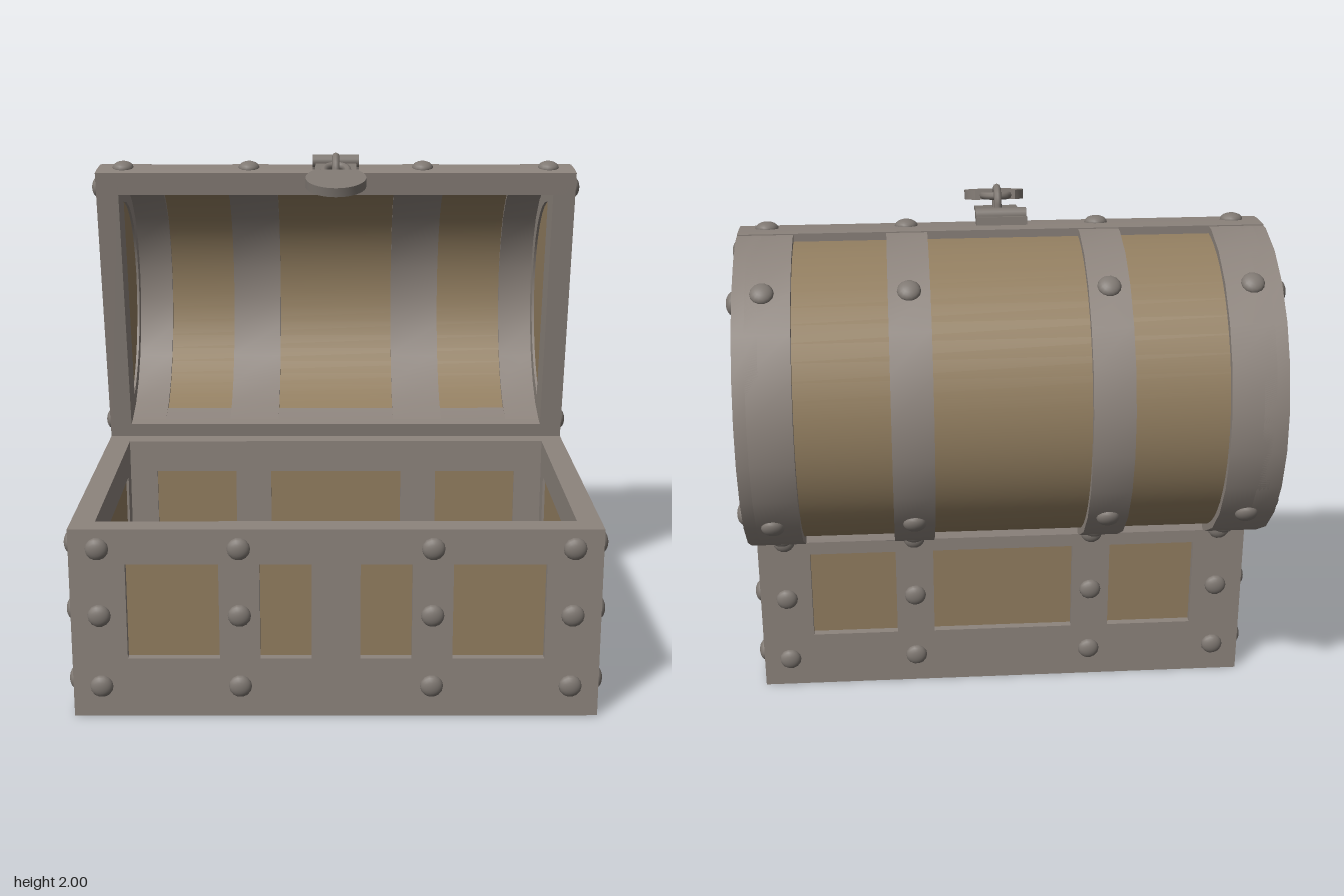
import * as THREE from 'three';
import { toCreasedNormals } from 'three/addons/utils/BufferGeometryUtils.js';

const iron = new THREE.MeshStandardMaterial({ color: 0x8d847d });
iron.name = 'grey frame';
const wood = new THREE.MeshStandardMaterial({ color: 0x927e60 });
wood.name = 'brown wood';
const metal = new THREE.MeshStandardMaterial({ color: 0x7f7872 });
metal.name = 'dark metal';

const W = 0.975, H = 0.735, DEPTH = 1.215, T = 0.09;
const R = DEPTH / 2, SKIRT = 0.05;
const RIVET_X = [-0.87, -0.355, 0.355, 0.87];
const rivetGeo = new THREE.SphereGeometry(0.043, 14, 6, 0, Math.PI * 2, 0, Math.PI / 2).scale(1, 0.6, 1);
const UP = new THREE.Vector3(0, 1, 0);

function add(parent, name, geo, mat, x = 0, y = 0, z = 0) {
  const m = new THREE.Mesh(geo, mat);
  m.name = name;
  m.position.set(x, y, z);
  parent.add(m);
  return m;
}

function box(parent, name, mat, w, h, d, x, y, z) {
  return add(parent, name, new THREE.BoxGeometry(w, h, d), mat, x, y, z);
}

function rivet(parent, x, y, z, nx, ny, nz) {
  const m = add(parent, 'rivet', rivetGeo, metal, x, y, z);
  m.quaternion.setFromUnitVectors(UP, new THREE.Vector3(nx, ny, nz).normalize());
}

const extrude = (shape, depth) =>
  new THREE.ExtrudeGeometry(shape, { depth, bevelEnabled: false, curveSegments: 8 });

// Points on an arc centred on the lid axis, angles in degrees
function arc(r, a0, a1, n) {
  return Array.from({ length: n + 1 }, (_, i) => {
    const a = THREE.MathUtils.degToRad(a0 + (a1 - a0) * i / n);
    return new THREE.Vector2(r * Math.cos(a), SKIRT + r * Math.sin(a));
  });
}

// Rounded rectangular ring for the carrying handles
function handle(parent) {
  const g = new THREE.Group();
  g.name = 'sideHandle';
  const w = 0.165, h = 0.083, r = 0.045, s = new THREE.Shape();
  [[1, 1, 0], [-1, 1, 1], [-1, -1, 2], [1, -1, 3]].forEach(([sx, sy, q]) =>
    s.absarc(sx * (w - r), sy * (h - r), r, q * Math.PI / 2, (q + 1) * Math.PI / 2, false));
  const pts = s.getPoints(4).map(p => new THREE.Vector3(p.x, p.y, 0));
  if (pts[0].distanceTo(pts[pts.length - 1]) < 1e-4) pts.pop();
  const ring = new THREE.CatmullRomCurve3(pts, true);
  add(g, 'handleRing', new THREE.TubeGeometry(ring, 80, 0.016, 8, true), metal);
  box(g, 'handleBracket', metal, 0.24, 0.03, 0.03, 0, h - 0.005, -0.012);
  g.position.set(0, 0.5, -0.01);
  parent.add(g);
}

// Wall with rectangular openings filled by recessed wood; outer face at local z = 0
function wall(parent, name, width, spans, rivets) {
  const g = new THREE.Group();
  g.name = name;
  const y0 = 0.23, y1 = 0.6, w = width / 2;
  const s = new THREE.Shape([[-w, 0], [w, 0], [w, H], [-w, H]].map(p => new THREE.Vector2(...p)));
  for (const [a, b] of spans) {
    s.holes.push(new THREE.Path([[a, y0], [a, y1], [b, y1], [b, y0]].map(p => new THREE.Vector2(...p))));
    box(g, 'woodPanel', wood, b - a, y1 - y0, 0.05, (a + b) / 2, (y0 + y1) / 2, -0.055);
  }
  add(g, 'wallFrame', extrude(s, T), iron, 0, 0, -T);
  for (const x of rivets) for (const y of [0.12, 0.4, 0.66]) rivet(g, x, y, 0, 0, 0, 1);
  parent.add(g);
  return g;
}

function buildBase() {
  const base = new THREE.Group();
  base.name = 'chestBase';
  const outer = [[-0.77, -0.43], [0.43, 0.77]];
  wall(base, 'frontWall', 2 * W, [...outer, [-0.28, -0.09], [0.09, 0.28]], RIVET_X).position.z = 0.875;
  const back = wall(base, 'backWall', 2 * W, [...outer, [-0.28, 0.28]], RIVET_X);
  back.position.z = -0.34;
  back.rotation.y = Math.PI;
  for (const side of [-1, 1]) {
    const g = wall(base, 'sideWall', DEPTH - 2 * T, [[-0.435, 0.435]], [-0.527, 0.527]);
    g.position.set(side * W, 0, 0.2675);
    g.rotation.y = side * Math.PI / 2;
    handle(g);
  }
  box(base, 'floor', iron, 2 * W - 0.02, 0.07, DEPTH - 0.02, 0, 0.035, 0.2675);
  return base;
}

// Hasp plate with its knuckle and staple
function buildHasp() {
  const g = new THREE.Group();
  g.name = 'hasp';
  box(g, 'haspPlate', metal, 0.166, 0.014, 0.33, 0, 0, 0.1);
  add(g, 'haspKnuckle', new THREE.CylinderGeometry(0.027, 0.027, 0.19, 12).rotateZ(Math.PI / 2), metal, 0, 0.01, -0.067);
  box(g, 'haspLeaf', metal, 0.19, 0.03, 0.07, 0, -0.008, -0.085);
  add(g, 'staple', new THREE.TorusGeometry(0.058, 0.015, 8, 16, Math.PI).rotateY(Math.PI / 2), metal, 0, 0.03, 0.15);
  for (const s of [-1, 1])
    add(g, 'stapleLeg', new THREE.CylinderGeometry(0.015, 0.015, 0.06, 8), metal, 0, 0, 0.15 + s * 0.058);
  g.position.set(0, 0, 1.237);
  g.rotation.x = Math.PI / 2;
  return g;
}

// Lid, modelled closed: z runs from the hinge to the front edge, y is height
function buildLid() {
  const lid = new THREE.Group();
  lid.name = 'lid';
  const A = 11, RI = 0.515, V = (x, y) => new THREE.Vector2(x, y);
  const slice = (name, pts, mat, x0, x1, hole) => {
    const s = new THREE.Shape(pts);
    if (hole) s.holes.push(new THREE.Path(hole));
    const geo = toCreasedNormals(extrude(s, x1 - x0).rotateY(Math.PI / 2), 0.5);
    return add(lid, name, geo, mat, x0, 0, R);
  };
  const ring = (ro, ri, a0, a1, n) => [...arc(ro, a0, a1, n), ...arc(ri, a1, a0, n)];

  // Wood vault and the iron bands on both sides of it
  slice('vaultWood', ring(0.578, 0.525, 8, 172, 24), wood, -0.89, 0.89);
  const bands = [[-0.93, -0.77], [-0.43, -0.28], [0.28, 0.43], [0.77, 0.93]];
  for (const [a, b] of bands) slice('lidBand', ring(R, 0.55, 0, 180, 12), iron, a, b);
  const inner = [[-0.89, -0.74], [-0.46, -0.25], [0.25, 0.46], [0.74, 0.89]];
  for (const [a, b] of inner) slice('innerBand', ring(RI, 0.55, 0, 180, 12).reverse(), iron, a, b);

  // Front and back rims
  const rim = [V(R, 0), ...arc(R, 0, A, 1), ...arc(RI, A, 0, 1), V(RI, 0)];
  slice('lidRim', rim, iron, -W, W);
  slice('lidRim', rim.map(p => V(-p.x, p.y)).reverse(), iron, -W, W);

  // End caps with a recessed half-round wood panel
  const cap = [V(R, 0), ...arc(R, 0, 180, 12), V(-R, 0)];
  const a = THREE.MathUtils.radToDeg(Math.asin(0.1 / 0.452));
  const panel = arc(0.452, a, 180 - a, 14);
  for (const side of [-1, 1]) {
    const at = (p, q) => side > 0 ? [p, q] : [-q, -p];
    slice('lidEnd', cap, iron, ...at(0.885, W), [...panel].reverse());
    slice('lidEndPanel', panel, wood, ...at(0.895, 0.945));
    for (const [u, h] of [[0.525, 0.08], [0.388, 0.425]])
      for (const f of [-1, 1]) rivet(lid, side * W, h, R + f * u, side, 0, 0);
  }

  // Rivets along the bands
  for (const x of RIVET_X) for (const f of [-1, 1]) {
    rivet(lid, x, 0.083, R + f * R, 0, 0, f);
    rivet(lid, x, SKIRT + R * Math.SQRT1_2, R + f * R * Math.SQRT1_2, 0, 1, f);
  }
  lid.add(buildHasp());
  lid.position.set(0, 0.7, -0.337);
  lid.rotation.x = -1.406;
  return lid;
}

function buildPadlock() {
  const g = new THREE.Group();
  g.name = 'padlock';
  // Round body with a flat top edge
  const s = new THREE.Shape();
  s.absarc(0, 0, 0.117, -0.83, Math.PI + 0.83, false);
  s.closePath();
  const body = new THREE.ExtrudeGeometry(s, { depth: 0.036, bevelEnabled: false, curveSegments: 16 });
  add(g, 'lockBody', toCreasedNormals(body.rotateX(Math.PI / 2), 0.6), metal, 0, 0.018, 0);
  const path = [[-0.045, -0.07], [-0.047, -0.13], [-0.033, -0.165], [0, -0.182], [0.033, -0.165], [0.047, -0.13], [0.045, -0.07]];
  const curve = new THREE.CatmullRomCurve3(path.map(([x, z]) => new THREE.Vector3(x, 0, z)));
  add(g, 'shackle', new THREE.TubeGeometry(curve, 30, 0.015, 8), metal);
  g.position.set(0, 1.907, 0.205);
  g.rotation.x = 0.235;
  return g;
}

export function createModel() {
  const chest = new THREE.Group();
  chest.name = 'treasureChest';
  chest.add(buildBase(), buildLid(), buildPadlock());
  // Back hinges
  for (const x of [-0.4, 0.4]) {
    add(chest, 'hingePin', new THREE.CylinderGeometry(0.022, 0.022, 0.15, 10).rotateZ(Math.PI / 2), metal, x, 0.7, -0.358);
    box(chest, 'hingeLeaf', metal, 0.14, 0.05, 0.012, x, 0.68, -0.343);
  }
  return chest;
}
